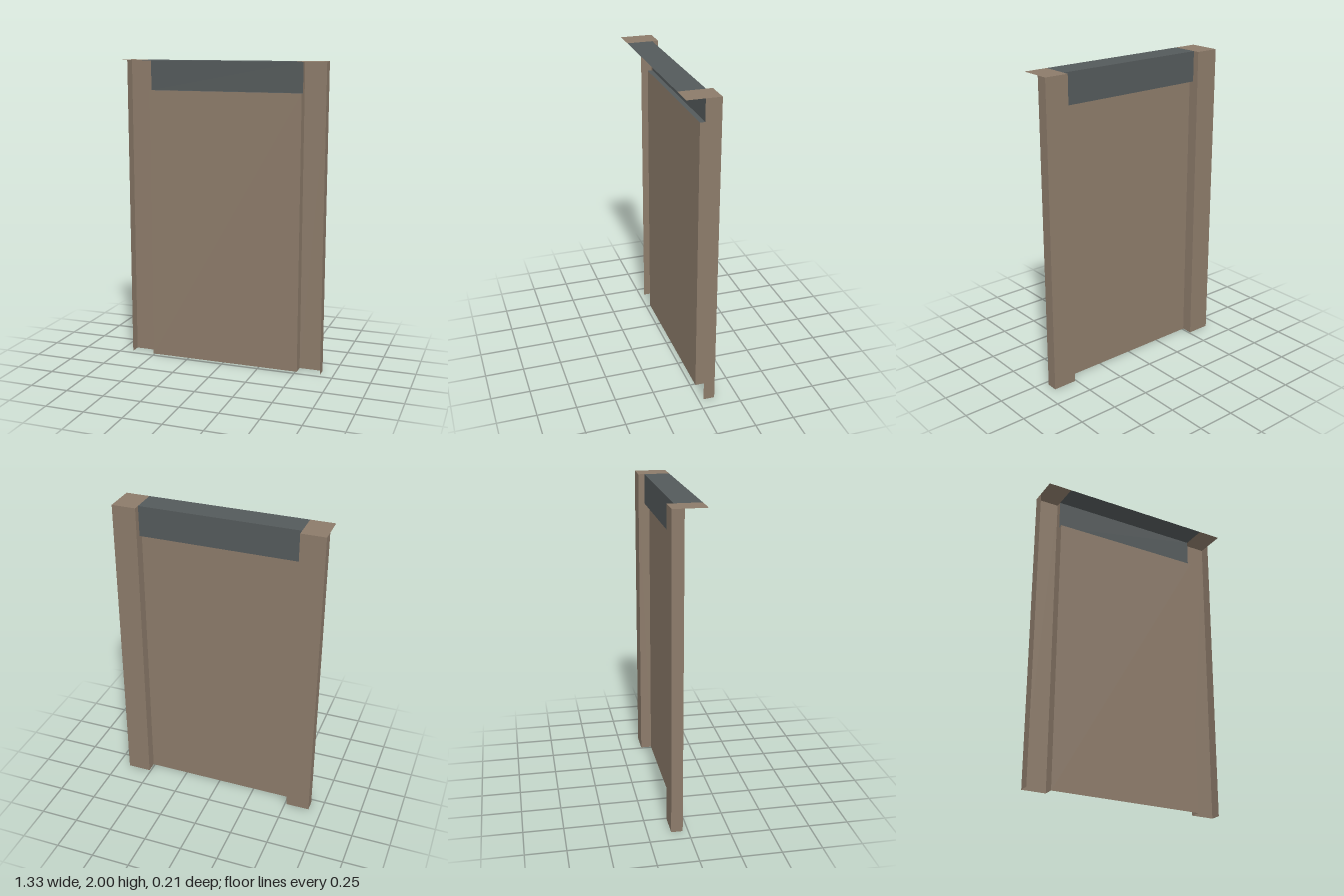
import * as THREE from 'three';

const brown = new THREE.MeshStandardMaterial({ color: 0x8c7b6a, side: THREE.DoubleSide });
brown.name = 'brown cladding';
const slate = new THREE.MeshStandardMaterial({ color: 0x545a5b, side: THREE.DoubleSide });
slate.name = 'slate lintel';

const H = 2, SILL = 1.805;             // full height, underside of lintel
const OUT = 0.665, IN = 0.51;          // outer and inner edge of the jambs
const BACK = -0.105, LINTEL = -0.065, PANEL = -0.033, FRONT = 0.102;

// Thin sheets lying across each axis
function facing(axis, at, u0, u1, v0, v1) {
  const g = new THREE.PlaneGeometry(u1 - u0, v1 - v0);
  const u = (u0 + u1) / 2, v = (v0 + v1) / 2;
  if (axis === 'x') return g.rotateY(Math.PI / 2).translate(at, v, u);   // u = z, v = y
  if (axis === 'y') return g.rotateX(-Math.PI / 2).translate(u, at, v);  // u = x, v = z
  return g.translate(u, v, at);                                          // u = x, v = y
}

function add(group, name, geometry, material) {
  const mesh = new THREE.Mesh(geometry, material);
  mesh.name = name;
  group.add(mesh);
}

export function createModel() {
  const model = new THREE.Group();
  model.name = 'doorway';

  // Door panel
  add(model, 'doorPanel', facing('z', PANEL, -IN, IN, 0, SILL), brown);

  // Lintel: recessed face, ledge over the panel, top cover
  const lintel = new THREE.Group();
  lintel.name = 'lintel';
  add(lintel, 'lintelFace', facing('z', LINTEL, -IN, IN, SILL, H), slate);
  add(lintel, 'lintelLedge', facing('y', SILL, -IN, IN, LINTEL, PANEL), slate);
  add(lintel, 'lintelTop', facing('y', H, -IN, IN, LINTEL, FRONT), slate);
  model.add(lintel);

  // Inner return of a jamb, narrower beside the lintel
  const profile = new THREE.Shape([
    [BACK, 0], [PANEL, 0], [PANEL, SILL], [LINTEL, SILL], [LINTEL, H], [BACK, H],
  ].map(([z, y]) => new THREE.Vector2(-z, y)));

  // Jambs, folded sheets mirrored left and right
  for (const s of [1, -1]) {
    const jamb = new THREE.Group();
    jamb.name = s > 0 ? 'leftJamb' : 'rightJamb';
    const x0 = Math.min(s * IN, s * OUT), x1 = Math.max(s * IN, s * OUT);
    add(jamb, 'jambBack', facing('z', BACK, x0, x1, 0, H), brown);
    const outer = facing('x', s * OUT, BACK, PANEL, 0, H);
    if (s < 0) outer.translate(OUT, 0, 0).rotateY(Math.PI).translate(-OUT, 0, BACK + PANEL);
    add(jamb, 'jambOuterSide', outer, brown);
    add(jamb, 'jambReturn', new THREE.ShapeGeometry(profile).rotateY(Math.PI / 2).translate(s * IN, 0, 0), brown);
    add(jamb, 'jambCap', facing('y', H, x0, x1, BACK, FRONT), brown);
    model.add(jamb);
  }
  return model;
}
